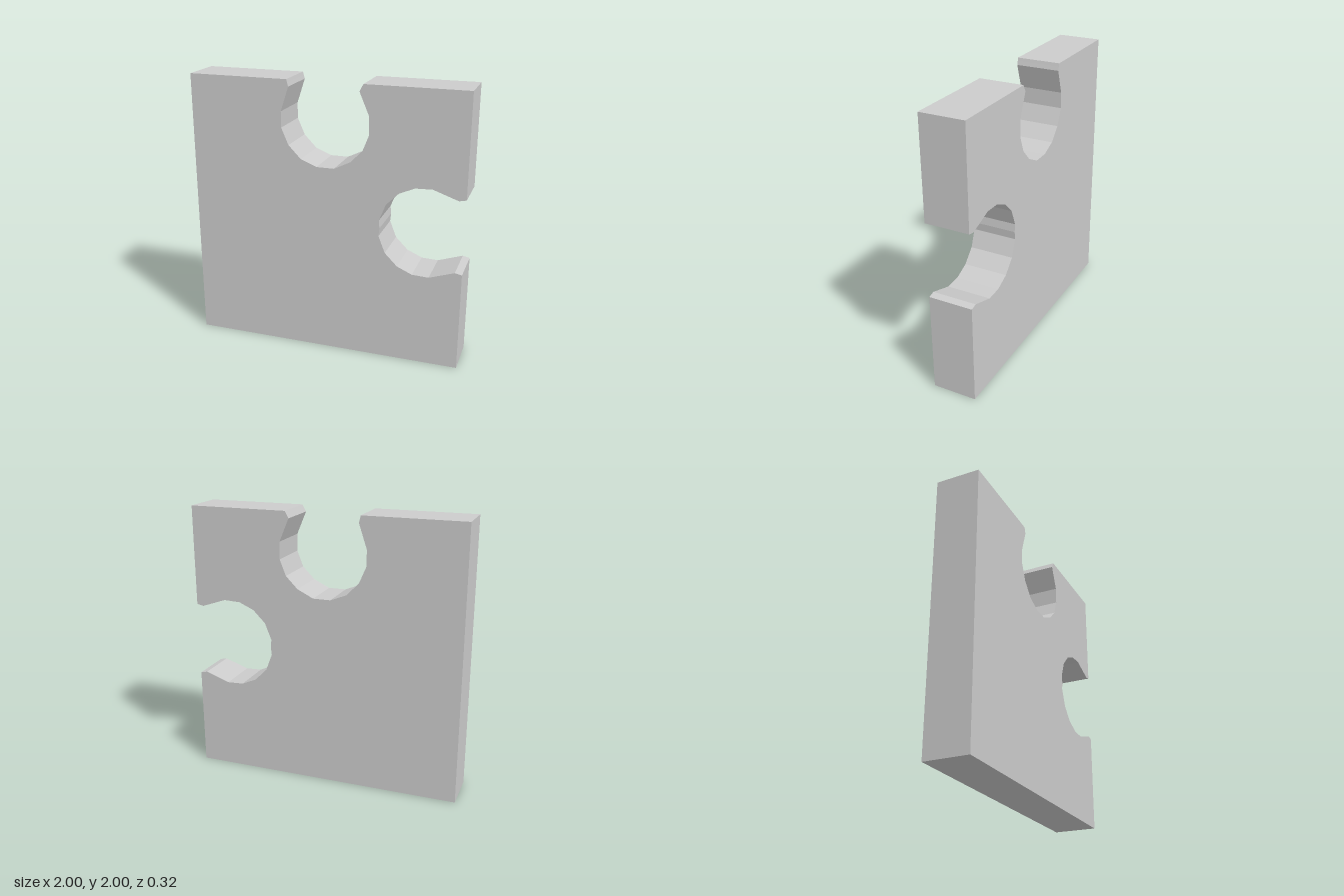
import * as THREE from 'three';

const DEPTH = 0.32;

// Faceted round socket cut in from the top edge, right to left
const topSocket = [
  [0.277, 2], [0.25, 1.95], [0.32, 1.785], [0.322, 1.66], [0.277, 1.545],
  [0.19, 1.457], [0.073, 1.4], [-0.055, 1.4], [-0.173, 1.447], [-0.263, 1.54],
  [-0.315, 1.66], [-0.315, 1.775], [-0.257, 1.95], [-0.265, 1.98], [-0.27, 2],
];

// Lower half of the side socket, mirrored about y = 1 for the upper half
const sideLower = [
  [1, 0.728], [0.95, 0.739], [0.77, 0.677], [0.65, 0.682], [0.54, 0.73],
  [0.45, 0.82], [0.402, 0.942],
];
const sideUpper = sideLower.map(([x, y]) => [x, 2 - y]).reverse();

export function createModel() {
  const group = new THREE.Group();
  group.name = 'puzzleTile';

  // Square plate outline, counter-clockwise from the bottom left corner
  const outline = [
    [-1, 0], [1, 0],
    ...sideLower, [0.408, 1], ...sideUpper,
    [1, 2], ...topSocket, [-1, 2],
  ].map(([x, y]) => new THREE.Vector2(x, y));

  const geometry = new THREE.ExtrudeGeometry(new THREE.Shape(outline), {
    depth: DEPTH, bevelEnabled: false,
  });
  geometry.translate(0, 0, -DEPTH / 2);

  const plate = new THREE.Mesh(
    geometry,
    new THREE.MeshStandardMaterial({ color: 0xcccccc, flatShading: true }),
  );
  plate.name = 'plate';
  group.add(plate);
  return group;
}
